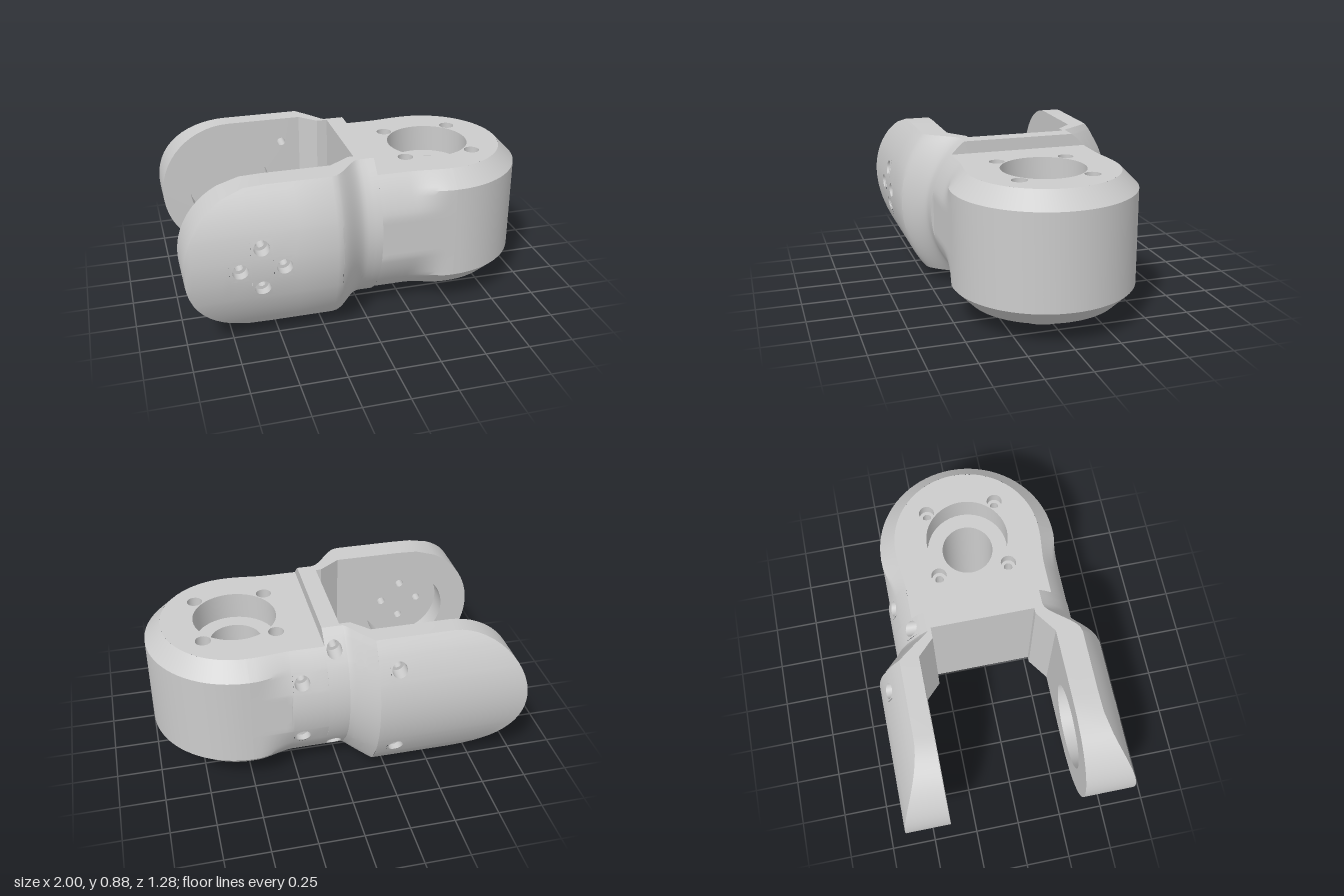
import * as THREE from 'three';
import { toCreasedNormals } from 'three/addons/utils/BufferGeometryUtils.js';

const H = 0.405, TIP = -0.595, R_ARM = 0.64, R_NECK = 0.515; // arm half height, pivot x, radii
const LO = -0.37, HI = 0.335, HUB_X = 0.5;                   // hub bottom and top about the axis
const material = new THREE.MeshStandardMaterial({ color: 0xcccccc });
const { clamp, lerp, smoothstep } = THREE.MathUtils;

function mesh(name, geometry) {
  const m = new THREE.Mesh(toCreasedNormals(geometry, 0.5), material);
  m.name = name;
  return m;
}

function fromTriangles(name, P) {
  const g = new THREE.BufferGeometry();
  g.setAttribute('position', new THREE.Float32BufferAttribute(P.flat(), 3));
  return mesh(name, g);
}

const same = (a, b) => Math.hypot(a[0] - b[0], a[1] - b[1], a[2] - b[2]) < 1e-6;
function tri(P, a, b, c) {
  if (!same(a, b) && !same(b, c) && !same(a, c)) P.push(a, b, c);
}
function quad(P, a, b, c, d) {
  tri(P, a, b, c);
  tri(P, a, c, d);
}

// Joins a list of closed loops of points
function loft(P, loops) {
  for (let k = 0; k + 1 < loops.length; k++) {
    const a = loops[k], b = loops[k + 1], n = a.length;
    for (let i = 0; i < n; i++) quad(P, a[i], a[(i + 1) % n], b[(i + 1) % n], b[i]);
  }
}

function circle(r, x = 0, y = 0, n = 24) {
  return Array.from({ length: n }, (_, i) => {
    const a = (i / n) * Math.PI * 2;
    return [x + r * Math.cos(a), y + r * Math.sin(a)];
  });
}

// Round pit described by [radius, depth level] pairs
const pit = (P, steps, map, n) => loft(P, steps.map(([r, w]) => circle(r, 0, 0, n).map(([u, v]) => map(u, v, w))));

// Flat face with holes, placed by a mapping
function face(P, outline, holes, map) {
  const vec = (pts) => pts.map(([x, y]) => new THREE.Vector2(x, y));
  const shape = new THREE.Shape(vec(outline));
  shape.holes = holes.map((h) => new THREE.Path(vec(h)));
  const g = new THREE.ShapeGeometry(shape), p = g.attributes.position, ix = g.index.array;
  const at = (i) => map(p.getX(i), p.getY(i));
  for (let i = 0; i < ix.length; i += 3) tri(P, at(ix[i]), at(ix[i + 1]), at(ix[i + 2]));
}

const range = (a, b, n) => Array.from({ length: n + 1 }, (_, i) => lerp(a, b, i / n));

// Grid lines that frame every hole and never cross one
function lines(base, centres, s) {
  const all = base.filter((v) => centres.every((c) => Math.abs(v - c) > s - 1e-4));
  for (const c of centres) all.push(c - s, c + s);
  return all.sort((a, b) => a - b).filter((v, i, l) => i === 0 || v - l[i - 1] > 1e-4);
}

// Curved wall z = zf(x, y) with counterbored screw holes
function wall(P, baseX, baseY, zf, half, holes, s) {
  const xs = lines(baseX, holes.map((h) => h.x), s), ys = lines(baseY, holes.map((h) => h.y), s);
  const at = (x, y) => {
    const c = clamp(y, -half(x), half(x));
    return [x, c, zf(x, c)];
  };
  for (let i = 0; i + 1 < xs.length; i++) for (let j = 0; j + 1 < ys.length; j++) {
    const cx = (xs[i] + xs[i + 1]) / 2, cy = (ys[j] + ys[j + 1]) / 2;
    const hole = holes.find((h) => Math.abs(h.x - cx) < 0.01 && Math.abs(h.y - cy) < 0.01);
    if (!hole) {
      quad(P, at(xs[i], ys[j]), at(xs[i + 1], ys[j]), at(xs[i + 1], ys[j + 1]), at(xs[i], ys[j + 1]));
      continue;
    }
    const ring = (r, z) => circle(r, hole.x, hole.y).map(([x, y]) => [x, y, z]);
    const square = circle(1).map(([c, d]) => {
      const k = s / Math.max(Math.abs(c), Math.abs(d));
      return at(hole.x + c * k, hole.y + d * k);
    });
    const seat = zf(hole.x, hole.y) - 0.06;
    const loops = [square, circle(0.042, hole.x, hole.y).map(([x, y]) => at(x, y)),
      ring(0.042, seat), ring(0.024, seat), ring(0.024, hole.end)];
    if (!hole.open) loops.push(ring(0, hole.end));
    loft(P, loops);
  }
  return xs;
}

const pair = (x, y, end, open) => [{ x, y, end, open }, { x, y: -y, end, open }];

// One fork arm with half of the web; outward is +z
function makeArm(name, o) {
  const P = [], all = () => H;
  const half = (x) => (x < TIP ? Math.sqrt(Math.max(0, H * H - (x - TIP) ** 2)) : H);
  const radius = (x) => lerp(R_ARM, R_NECK, o.soft ? smoothstep(x, -0.2, 0) : clamp((x + 0.17) / 0.13, 0, 1));
  const outer = (x, y) => Math.sqrt(radius(x) ** 2 - y * y);
  const inner = (x) => (x > -0.02 ? 0 : lerp(o.inside, o.neck, clamp((x + 0.17) / (o.bend + 0.17), 0, 1)));

  // Outer skin of the arm and of the neck
  const tipX = range(0, Math.PI / 2, 14).map((a) => TIP - H * Math.cos(a));
  const ys = range(-H, H, 28);
  const xs = wall(P, [...tipX, -0.4, -0.2, -0.17], ys, outer, half, o.armHoles, o.pitch);
  const neckX = wall(P, [...range(-0.17, -0.05, 8), o.bend, -0.035, -0.02, 0, 0.04, 0.08], ys, outer, all, o.neckHoles, 0.05);

  // Rim between outer skin and inner face
  for (const list of [xs, neckX]) for (let i = 0; i + 1 < list.length; i++) {
    const [a, b] = [list[i], list[i + 1]], ha = half(a), hb = half(b);
    const za = inner(a + 1e-5), zb = inner(b - 1e-5);
    quad(P, [a, ha, outer(a, ha)], [b, hb, outer(b, hb)], [b, hb, zb], [a, ha, za]);
    quad(P, [a, -ha, za], [b, -hb, zb], [b, -hb, outer(b, hb)], [a, -ha, outer(a, ha)]);
  }

  // Inner face with the round bearing pocket
  const outline = [...xs.map((x) => [x, -half(x)]), ...xs.slice(1).reverse().map((x) => [x, half(x)])];
  const through = o.armHoles.filter((h) => h.end === o.inside).map((h) => circle(0.024, h.x, h.y));
  face(P, outline, [circle(0.24, -0.6, 0, 48), ...through], (u, v) => [u, -v, o.inside]);
  pit(P, [[0.24, -o.inside], [0.24, -o.floor]], (u, v, w) => [u - 0.6, -v, -w], 48);
  const floorHoles = o.armHoles.filter((h) => h.end === o.floor).map((h) => circle(0.024, h.x + 0.6, h.y));
  face(P, circle(0.24, 0, 0, 48), floorHoles, (u, v) => [u - 0.6, -v, o.floor]);

  // Inner bend and the face of the web
  const path = [[-0.17, o.inside], [o.bend, o.neck], [-0.02, o.neck], [-0.02, 0]];
  for (let i = 0; i < 3; i++) {
    const [[a, c], [b, d]] = [path[i], path[i + 1]];
    quad(P, [a, -H, c], [a, H, c], [b, H, d], [b, -H, d]);
  }

  // End face of the web towards the hub
  const arc = range(-H, H, 28).map((y) => [y, Math.sqrt(R_NECK ** 2 - y * y)]);
  face(P, [[-H, 0], [H, 0], ...arc.reverse()], [], (u, v) => [0.08, u, v]);
  return fromTriangles(name, P);
}

// Straight hub flank blending from the round neck to the chamfered hub
const flankX = [0.08, 0.12, 0.18, 0.25, 0.28, 0.281, 0.31, 0.34, 0.37, 0.4, 0.43, 0.46, HUB_X];
function flankZ(x, y, lo, hi, raised) {
  const round = Math.sqrt(R_NECK ** 2 - y * y);
  const chamfered = 0.5 - Math.max(0, 0.09 - (y - lo), 0.09 - (hi - y));
  return lerp(raised && x <= 0.28 ? round : Math.min(0.5, round), chamfered, smoothstep(x, 0.25, 0.48));
}
function makeFlank(name, lo, hi, raised, holes) {
  const P = [], ys = [...range(lo, lo + 0.09, 6), ...range(lo + 0.09, hi - 0.09, 20), ...range(hi - 0.09, hi, 6)];
  wall(P, flankX, ys, (x, y) => flankZ(x, y, lo, hi, raised), () => 1, holes, 0.05);
  return fromTriangles(name, P);
}

// Hub top or bottom with central opening and four screw holes
function makeHubFace(name, y, up) {
  const P = [], edge = flankX.map((x) => [x, flankZ(x, y, LO, HI, false)]);
  const nose = range(Math.PI / 2, -Math.PI / 2, 32).slice(1, -1).map((a) => [HUB_X + 0.41 * Math.cos(a), 0.41 * Math.sin(a)]);
  const outline = [...edge, ...nose, ...[...edge].reverse().map(([x, z]) => [x, -z])];
  const spots = [[-1, -1], [-1, 1], [1, -1], [1, 1]].map(([i, j]) => [HUB_X + i * 0.197, j * 0.197]);
  const holes = [circle(up > 0 ? 0.23 : 0.195, HUB_X, 0, 48), ...spots.map(([x, z]) => circle(0.043, x, z))];
  face(P, outline, holes, (u, v) => [u, y, -up * v]);
  for (const [x, z] of spots) {
    pit(P, [[0.043, 0], [0.043, -0.06], [0.024, -0.06], [0.024, -0.2], [0, -0.2]],
      (u, v, w) => [x + u, y + up * w, z - up * v]);
  }
  return fromTriangles(name, P);
}

function lathe(name, points, segments, start, sweep) {
  const m = mesh(name, new THREE.LatheGeometry(points.map(([r, y]) => new THREE.Vector2(r, y)), segments, start, sweep));
  m.position.x = HUB_X;
  return m;
}

export function createModel() {
  const model = new THREE.Group(), body = new THREE.Group(), back = new THREE.Group();
  model.name = 'jointLink';
  body.name = 'body';
  back.name = 'backSide';
  body.position.y = 0.48;
  back.rotation.x = Math.PI;
  model.add(body);

  const pivotScrews = [[-0.115, 0], [0.115, 0], [0, 0.115], [0, -0.115]]
    .map(([x, y]) => ({ x: x - 0.6, y, end: 0.475, open: true }));
  body.add(
    makeArm('frontArm', { soft: true, inside: 0.355, neck: 0.27, bend: -0.05, floor: 0.475,
      armHoles: pivotScrews, pitch: 0.0575, neckHoles: [] }),
    makeFlank('frontHubFlank', LO, HI, false, []),
    back);
  back.add(
    makeArm('backArm', { soft: false, inside: 0.39, neck: 0.3, bend: -0.08, floor: 0.5,
      armHoles: pair(-0.28, 0.26, 0.39, true), pitch: 0.05, neckHoles: pair(0.03, 0.316, 0.2, false) }),
    makeFlank('backHubFlank', -HI, -LO, true, pair(0.22, 0.18, 0.3, false)));

  // Hub: rounded nose, faces, bore and lower collar
  body.add(
    lathe('hubNose', [[0.41, LO], [0.5, LO + 0.09], [0.5, HI - 0.09], [0.41, HI]], 40, 0, Math.PI),
    makeHubFace('hubTop', HI, 1),
    makeHubFace('hubBottom', LO, -1),
    lathe('hubBoreAndCollar', [[0.23, HI], [0.23, 0.18], [0.145, 0.18], [0.145, -0.47], [0.155, -0.48],
      [0.175, -0.48], [0.184, -0.47], [0.186, -0.41], [0.195, -0.4], [0.195, LO]], 48));
  return model;
}
